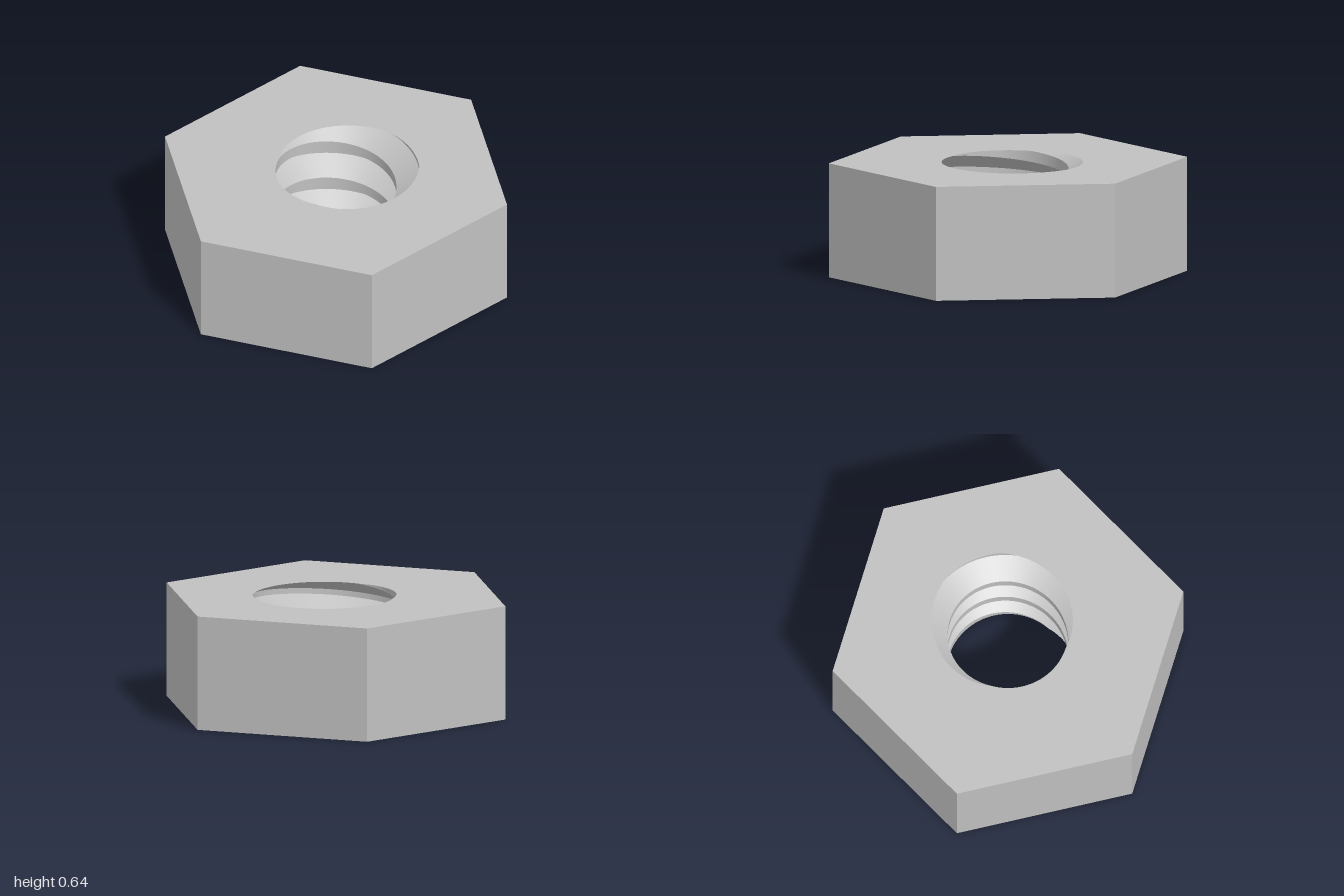
import * as THREE from 'three';
import { toCreasedNormals } from 'three/addons/utils/BufferGeometryUtils.js';

const HEIGHT = 0.64, PITCH = 0.249, MINOR = 0.335, MAJOR = 0.463, STEPS = 144;
const TURN = Math.PI * 2;

// Height of the thread root at an angle (right-handed helix)
const rootY = (a) => HEIGHT + PITCH * (a - Math.PI / 4) / TURN;

// Hole radius at an angle and height: flat root, sloped flanks, flat crest
function radiusAt(a, y) {
  const s = (y - rootY(a)) / PITCH;
  const d = Math.abs(s - Math.round(s));
  const t = THREE.MathUtils.clamp((d - 1 / 16) / (3 / 8 - 1 / 16), 0, 1);
  return MAJOR + (MINOR - MAJOR) * t;
}

// Thread wall: one column of profile corners per angle, cut off at both faces
function threadGeometry() {
  const columns = [];
  for (let i = 0; i <= STEPS; i++) {
    const a = i / STEPS * TURN, column = [];
    for (let k = -5; k <= 1; k++) {
      for (const c of [-3 / 8, -1 / 16, 1 / 16, 3 / 8]) {
        const y = THREE.MathUtils.clamp(rootY(a) + (k + c) * PITCH, 0, HEIGHT);
        const r = radiusAt(a, y);
        column.push(new THREE.Vector3(r * Math.cos(a), y, -r * Math.sin(a)));
      }
    }
    columns.push(column);
  }
  const positions = [];
  const addTriangle = (a, b, c) => {
    if (new THREE.Triangle(a, b, c).getArea() < 1e-8) return;
    for (const p of [a, b, c]) positions.push(p.x, p.y, p.z);
  };
  for (let i = 0; i < STEPS; i++) {
    const p = columns[i], q = columns[i + 1];
    for (let j = 0; j < p.length - 1; j++) {
      addTriangle(p[j], p[j + 1], q[j]);
      addTriangle(q[j], p[j + 1], q[j + 1]);
    }
  }
  const geometry = new THREE.BufferGeometry();
  geometry.setAttribute('position', new THREE.Float32BufferAttribute(positions, 3));
  return toCreasedNormals(geometry, 0.5);
}

// Hexagonal face with the hole cut where the thread meets it
function faceGeometry(y, side) {
  const hexagon = [], hole = [];
  for (let i = 0; i < 6; i++) {
    const a = i / 6 * TURN;
    hexagon.push(new THREE.Vector2(Math.cos(a), Math.sin(a)));
  }
  for (let i = 0; i < STEPS; i++) {
    const a = i / STEPS * TURN, r = radiusAt(a, y);
    hole.push(new THREE.Vector2(r * Math.cos(a), side * r * Math.sin(a)));
  }
  const shape = new THREE.Shape(hexagon);
  shape.holes.push(new THREE.Path(hole));
  return new THREE.ShapeGeometry(shape).rotateX(-side * Math.PI / 2).translate(0, y, 0);
}

export function createModel() {
  const steel = new THREE.MeshStandardMaterial({ color: 0xc0c0c0 });
  steel.name = 'steel';
  const group = new THREE.Group();
  group.name = 'hexNut';
  const add = (name, geometry) => {
    const mesh = new THREE.Mesh(geometry, steel);
    mesh.name = name;
    group.add(mesh);
  };

  // Six flat outer sides, with corners on the x axis
  const sides = new THREE.CylinderGeometry(1, 1, HEIGHT, 6, 1, true, Math.PI / 6);
  add('outerSides', toCreasedNormals(sides.translate(0, HEIGHT / 2, 0), 0.5));
  add('topFace', faceGeometry(HEIGHT, 1));
  add('bottomFace', faceGeometry(0, -1));
  add('innerThread', threadGeometry());
  return group;
}
